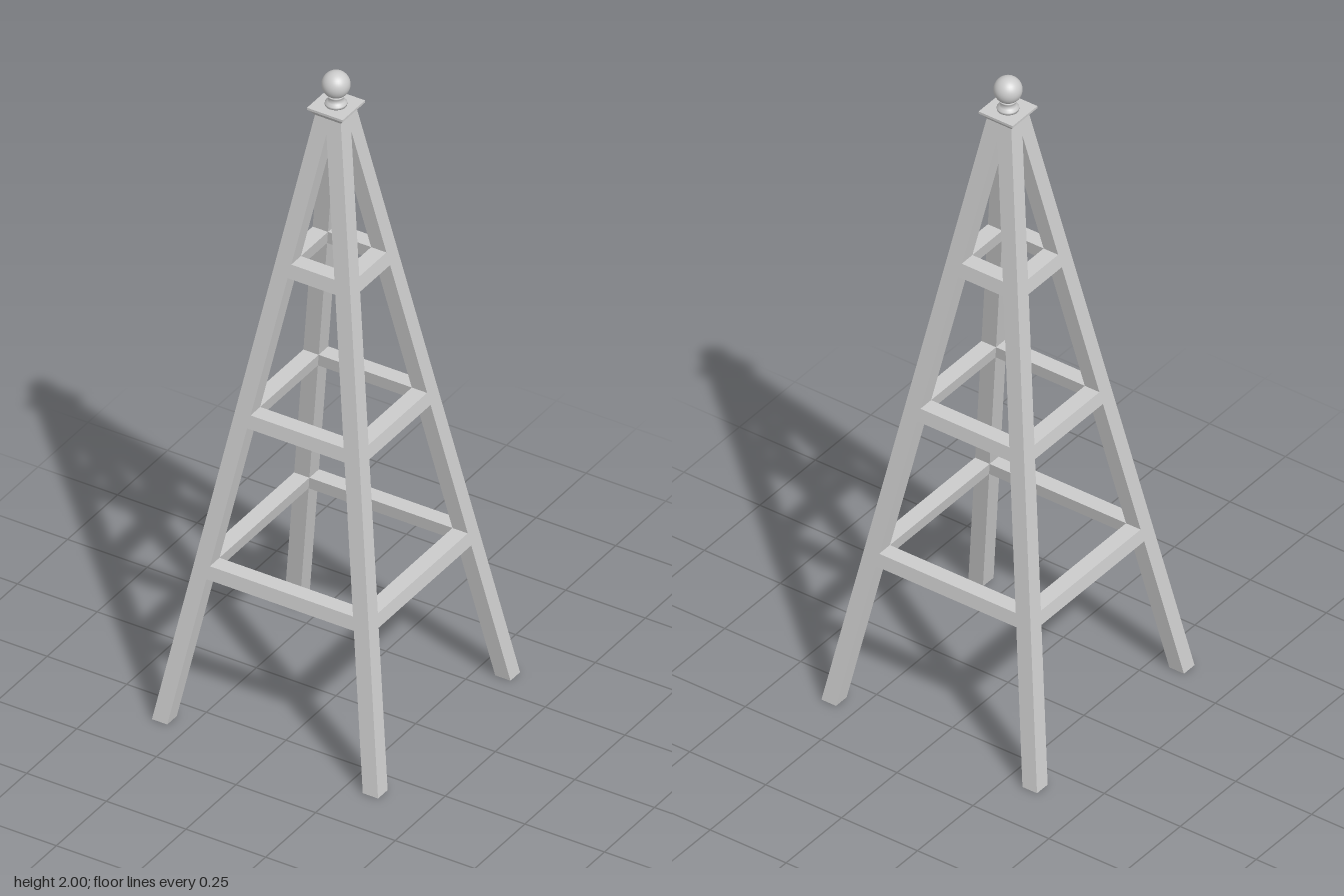
import * as THREE from 'three';

const material = new THREE.MeshStandardMaterial({ color: 0xcccccc });
const SLOPE = 0.168;
const LEG_TOP = 1.88;
const outer = y => 0.355 - SLOPE * y;
const inner = y => 0.307 - SLOPE * y;

// Six-sided block between two horizontal quads of [x, z] corners
// (counter-clockwise seen from above), with sharp edges.
function block(y0, bottom, y1, top) {
  const b = bottom.map(([x, z]) => [x, y0, z]);
  const t = top.map(([x, z]) => [x, y1, z]);
  const pos = [];
  const quad = (p, q, r, s) => pos.push(...p, ...q, ...r, ...p, ...r, ...s);
  quad(...t);
  quad(b[3], b[2], b[1], b[0]);
  for (let i = 0; i < 4; i++) {
    const j = (i + 1) % 4;
    quad(b[i], b[j], t[j], t[i]);
  }
  const g = new THREE.BufferGeometry();
  g.setAttribute('position', new THREE.Float32BufferAttribute(pos, 3));
  g.computeVertexNormals();
  return g;
}

const legSection = y => {
  const i = inner(y), o = outer(y);
  return [[i, i], [i, o], [o, o], [o, i]];
};
const railSection = y => {
  const i = inner(y), o = outer(y);
  return [[-i, i], [-i, o], [i, o], [i, i]];
};
const square = h => [[-h, -h], [-h, h], [h, h], [h, -h]];

export function createModel() {
  const model = new THREE.Group();
  model.name = 'gardenObelisk';
  const add = (name, geometry, turn = 0) => {
    const mesh = new THREE.Mesh(geometry, material);
    mesh.name = name;
    mesh.rotation.y = turn * Math.PI / 2;
    model.add(mesh);
    return mesh;
  };

  // Four leaning legs
  const leg = block(0, legSection(0), LEG_TOP, legSection(LEG_TOP));
  for (let k = 0; k < 4; k++) add('leg', leg, k);

  // Three tiers of rails, flush with the leaning leg faces
  for (const [y0, y1] of [[0.45, 0.49], [0.917, 0.957], [1.382, 1.424]]) {
    const rail = block(y0, railSection(y0), y1, railSection(y1));
    for (let k = 0; k < 4; k++) add('rail', rail, k);
  }

  // Flared cap with a thin flat plate
  add('capMoulding', block(1.872, square(0.041), 1.89, square(0.054)));
  add('capPlate', block(1.89, square(0.056), 1.897, square(0.056)));

  // Turned neck and ball finial
  const neck = [[0, 1.897], [0.03, 1.897], [0.03, 1.904], [0.023, 1.909],
    [0.02, 1.916], [0.022, 1.923], [0.026, 1.93], [0, 1.935]];
  add('finialNeck', new THREE.LatheGeometry(neck.map(p => new THREE.Vector2(...p)), 32));
  add('finialBall', new THREE.SphereGeometry(0.039, 32, 20)).position.y = 1.961;

  return model;
}
